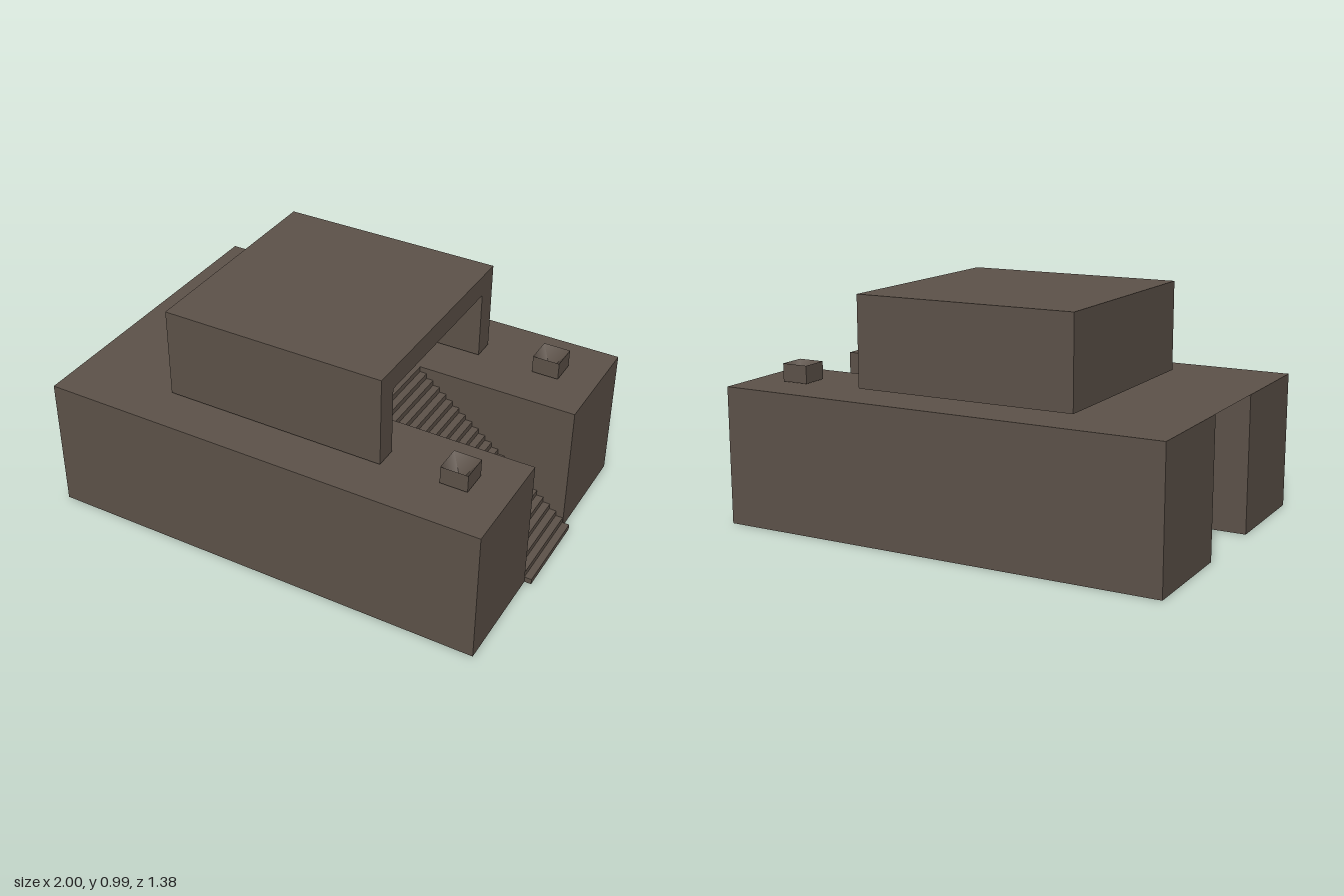
import * as THREE from 'three';

export function createModel() {
  const model = new THREE.Group();
  const stone = new THREE.MeshStandardMaterial({ color: 0x5d5249, side: THREE.DoubleSide });
  stone.name = 'brown stone';

  const add = (name, geometry, x = 0, y = 0, z = 0, parent = model) => {
    const mesh = new THREE.Mesh(geometry, stone);
    mesh.name = name;
    mesh.position.set(x, y, z);
    parent.add(mesh);
    return mesh;
  };

  const x0 = -1, x1 = 0.97, halfZ = 0.69, slotZ = 0.2, topY = 0.594;
  const steps = 24, tread = 0.032, rise = topY / steps;
  const slotX = 1 - steps * tread;

  // Terrace top, notched where the stairway rises through it
  const outline = new THREE.Shape([
    [x0, -halfZ], [x1, -halfZ], [x1, -slotZ], [slotX, -slotZ],
    [slotX, slotZ], [x1, slotZ], [x1, halfZ], [x0, halfZ],
  ].map(([x, y]) => new THREE.Vector2(x, y)));
  add('terraceTop', new THREE.ShapeGeometry(outline).rotateX(-Math.PI / 2), 0, topY, 0);

  // Two hollow terrace blocks, open underneath, with a passage between them
  const longWall = new THREE.PlaneGeometry(x1 - x0, topY);
  const endWall = new THREE.PlaneGeometry(halfZ - slotZ, topY).rotateY(Math.PI / 2);
  const midX = (x0 + x1) / 2, midZ = (halfZ + slotZ) / 2;
  for (const s of [1, -1]) {
    const block = new THREE.Group();
    block.name = s > 0 ? 'frontTerraceBlock' : 'backTerraceBlock';
    const outer = add('outerWall', longWall, midX, topY / 2, s * halfZ, block);
    const inner = add('passageWall', longWall, midX, topY / 2, s * slotZ, block);
    (s > 0 ? inner : outer).rotation.y = Math.PI;
    add('stairEndWall', endWall, x1, topY / 2, s * midZ, block);
    add('rearEndWall', endWall, x0, topY / 2, s * midZ, block).rotation.y = Math.PI;
    model.add(block);
  }

  // Thin stair treads climbing into the pavilion
  const stairs = new THREE.Group();
  stairs.name = 'stairs';
  const step = new THREE.BoxGeometry(tread, rise, slotZ * 2);
  for (let i = 0; i < steps; i++) {
    add('step', step, 1 - (i + 0.5) * tread, (i + 0.5) * rise, 0, stairs);
  }
  model.add(stairs);

  // Pavilion: arch-shaped shell extruded along x, with a closed rear wall
  const floorY = 0.602, roofY = 0.994, ceilingY = 0.9;
  const px0 = -0.537, px1 = 0.445, rear = 0.1;
  const arch = new THREE.Shape([
    [-0.492, floorY], [-0.395, floorY], [-0.395, ceilingY], [0.395, ceilingY],
    [0.395, floorY], [0.492, floorY], [0.492, roofY], [-0.492, roofY],
  ].map(([z, y]) => new THREE.Vector2(z, y)));
  const shell = new THREE.ExtrudeGeometry(arch, { depth: px1 - px0, bevelEnabled: false });
  add('pavilionShell', shell.rotateY(Math.PI / 2), px0);
  add('pavilionRearWall', new THREE.BoxGeometry(rear, ceilingY - floorY, 0.79),
    px0 + rear / 2, (ceilingY + floorY) / 2, 0);
  add('innerDoor', new THREE.BoxGeometry(0.009, 0.19, 0.24),
    px0 + rear + 0.0045, floorY + 0.095, 0);

  // Fire bowls: square rims around a smooth pit that ends in a point
  const size = 0.118, low = 0.6, high = 0.677;
  const side = new THREE.PlaneGeometry(size, high - low);
  const pit = new THREE.ConeGeometry(size / Math.SQRT2, high - 0.592, 4, 1, true)
    .rotateY(Math.PI / 4).rotateX(Math.PI);
  for (const z of [0.418, -0.453]) {
    const bowl = new THREE.Group();
    bowl.name = 'fireBowl';
    for (let i = 0; i < 4; i++) {
      const a = i * Math.PI / 2;
      add('bowlSide', side, Math.sin(a) * size / 2, (low + high) / 2,
        Math.cos(a) * size / 2, bowl).rotation.y = a;
    }
    add('bowlPit', pit, 0, (high + 0.592) / 2, 0, bowl);
    bowl.position.set(0.754, 0, z);
    model.add(bowl);
  }

  return model;
}
